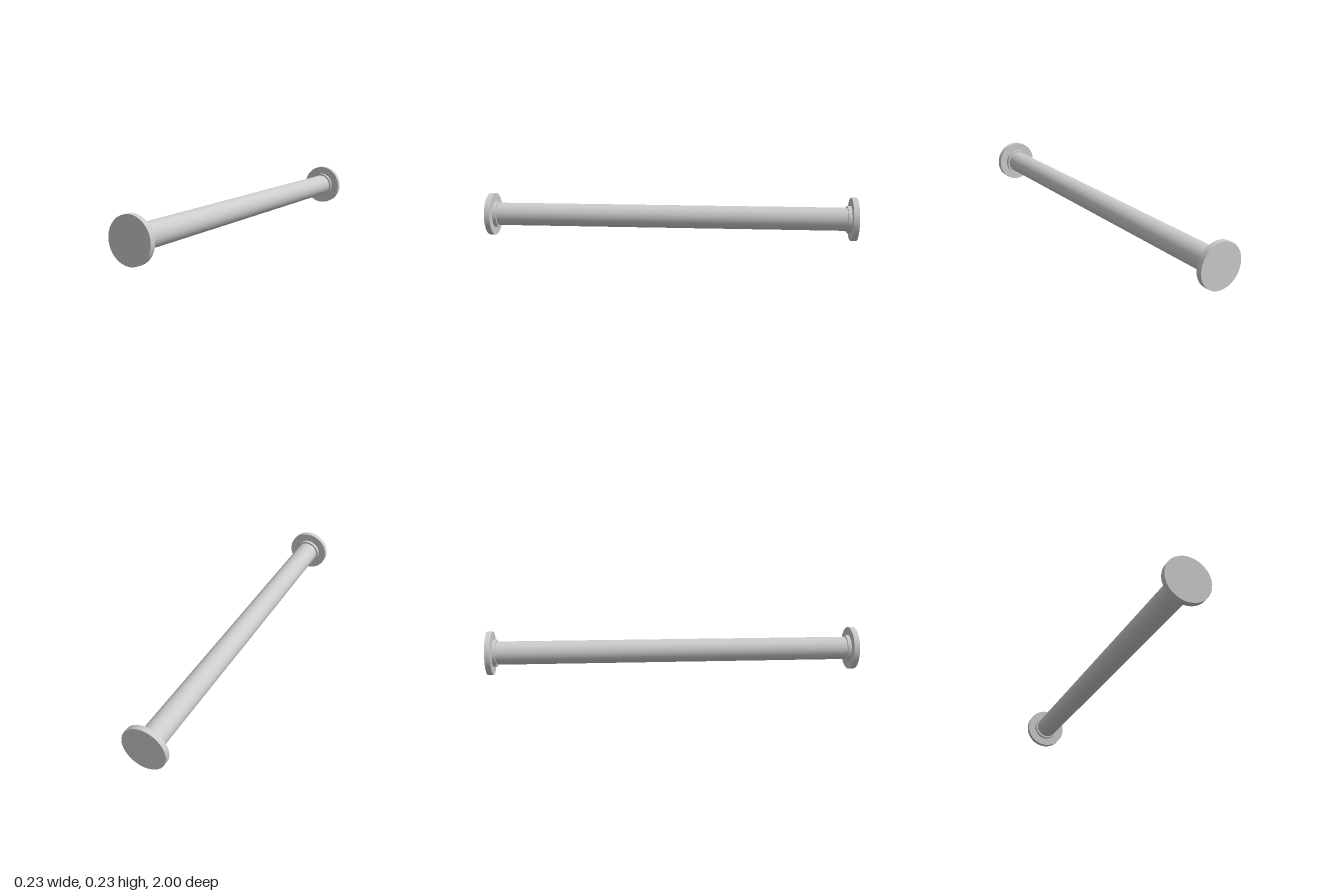
import * as THREE from 'three';

const AXIS_Y = 0.116;

export function createModel() {
  const group = new THREE.Group();
  const material = new THREE.MeshStandardMaterial({ color: 0xcccccc });

  // Round part lying along z between two depths
  const addRound = (name, radius, z0, z1) => {
    const geometry = new THREE.CylinderGeometry(radius, radius, Math.abs(z1 - z0), 32);
    geometry.rotateX(Math.PI / 2);
    const mesh = new THREE.Mesh(geometry, material);
    mesh.name = name;
    mesh.position.set(0, AXIS_Y, (z0 + z1) / 2);
    group.add(mesh);
  };

  // Long rod
  addRound('rod', 0.062, -0.97, 0.97);

  // Wall flange and stepped collar at each end
  for (const [end, side] of [['front', 1], ['back', -1]]) {
    addRound(end + 'Flange', AXIS_Y, side * 0.97, side);
    addRound(end + 'Collar', 0.072, side * 0.95, side * 0.97);
  }
  return group;
}
